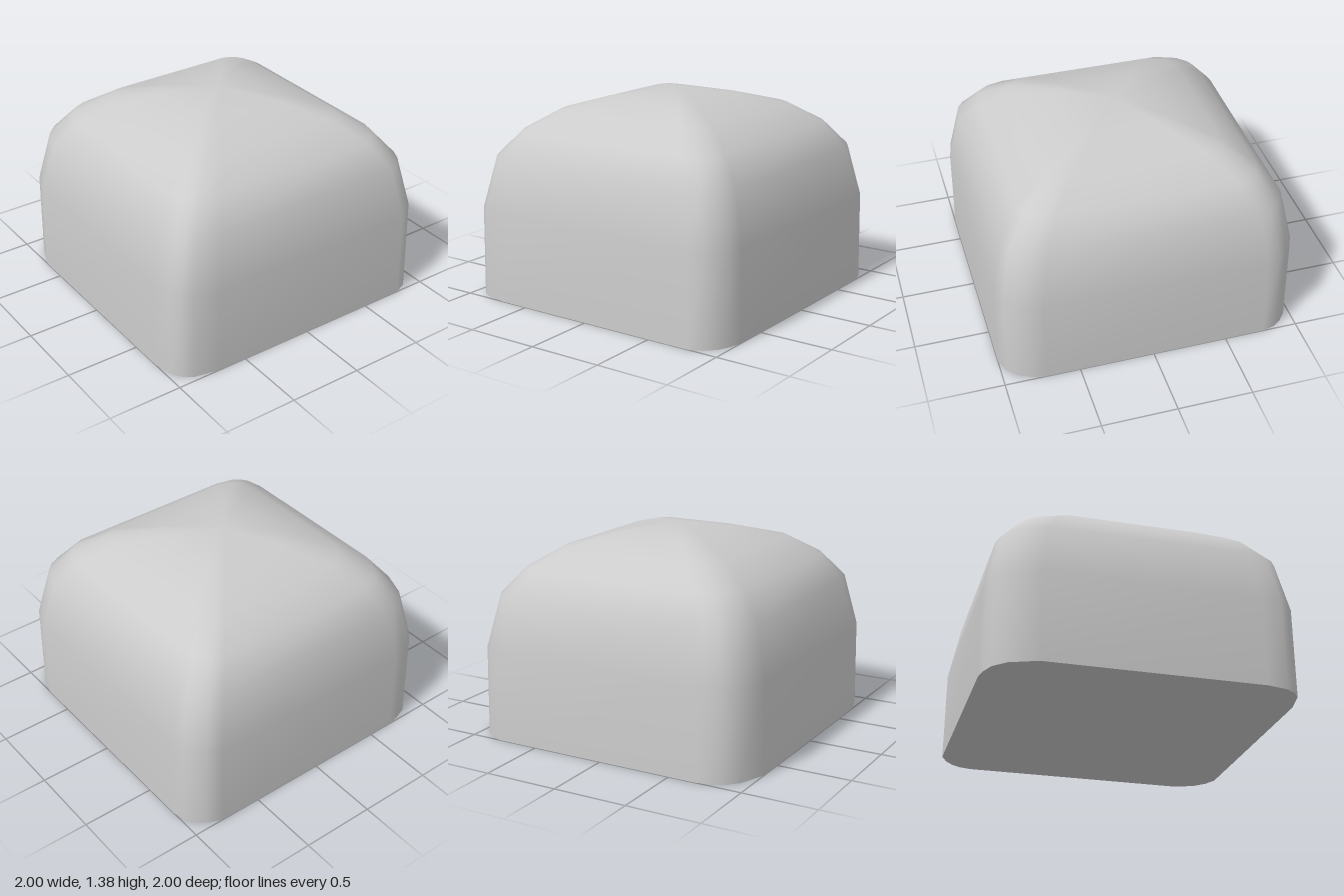
import * as THREE from 'three';

// Rounded-square outline [x, z], counter-clockwise seen from above
const OUTLINE = [
  [0.79, 1], [0.88, 0.96], [0.94, 0.9], [0.98, 0.82], [1, 0.73],
  [1, -0.77], [0.98, -0.85], [0.94, -0.91], [0.88, -0.96], [0.79, -1],
  [-0.68, -1], [-0.76, -0.985], [-0.85, -0.95], [-0.93, -0.87], [-1, -0.69],
  [-1, 0.72], [-0.97, 0.86], [-0.93, 0.92], [-0.87, 0.965], [-0.7, 1],
];

// Rings of the body, from the base up: [height, x scale, z scale]
const RINGS = [
  [0, 1, 1], [0.6, 0.993, 0.995], [0.95, 0.912, 0.924], [1.12, 0.776, 0.79],
  [1.25, 0.58, 0.595], [1.33, 0.315, 0.32],
];
const APEX = 1.385;

function fromTriangles(positions, index) {
  const geometry = new THREE.BufferGeometry();
  geometry.setAttribute('position', new THREE.Float32BufferAttribute(positions, 3));
  geometry.setIndex(index);
  geometry.computeVertexNormals();
  return geometry;
}

// Smooth skin lofted through the rings and closed at the apex
function domeGeometry() {
  const n = OUTLINE.length;
  const positions = [];
  const index = [];
  for (const [y, sx, sz] of RINGS) {
    for (const [x, z] of OUTLINE) positions.push(x * sx, y, z * sz);
  }
  positions.push(0, APEX, 0);
  const apex = RINGS.length * n;
  for (let r = 0; r < RINGS.length; r++) {
    for (let i = 0; i < n; i++) {
      const a = r * n + i;
      const b = r * n + (i + 1) % n;
      if (r === RINGS.length - 1) index.push(a, b, apex);
      else index.push(a, b, b + n, a, b + n, a + n);
    }
  }
  return fromTriangles(positions, index);
}

// Flat underside, facing down
function baseGeometry() {
  const n = OUTLINE.length;
  const positions = [0, 0, 0];
  const index = [];
  OUTLINE.forEach(([x, z], i) => {
    positions.push(x, 0, z);
    index.push(0, 1 + (i + 1) % n, 1 + i);
  });
  return fromTriangles(positions, index);
}

export function createModel() {
  const group = new THREE.Group();
  group.name = 'roundedDomeBlock';
  const material = new THREE.MeshStandardMaterial({ color: 0xcccccc });
  const add = (name, geometry) => {
    const mesh = new THREE.Mesh(geometry, material);
    mesh.name = name;
    group.add(mesh);
  };
  add('domedBody', domeGeometry());
  add('flatBase', baseGeometry());
  return group;
}
